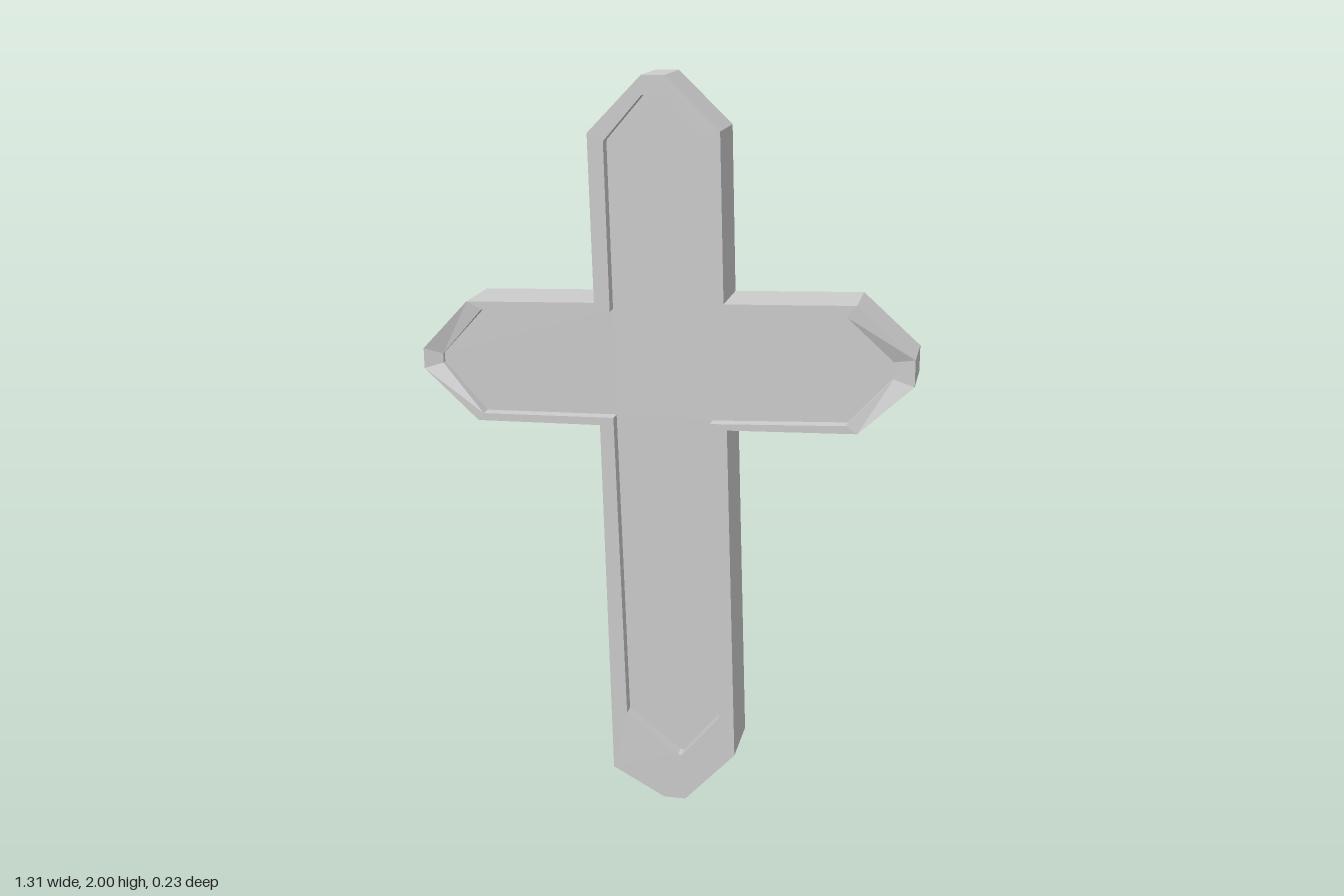
import * as THREE from 'three';

const V2 = (a) => a.map(([x, y]) => new THREE.Vector2(x, y));

// Outer outline and matching inner outline of the raised rim, counter-clockwise from the foot
const OUTER = V2([
  [0, 0], [0.06, 0], [0.2, 0.15], [0.175, 1.09], [0.515, 1.1], [0.655, 1.23], [0.655, 1.3],
  [0.505, 1.435], [0.165, 1.425], [0.155, 1.86], [0.015, 1.995], [-0.045, 1.995], [-0.187, 1.85],
  [-0.177, 1.415], [-0.525, 1.405], [-0.655, 1.27], [-0.655, 1.215], [-0.505, 1.08],
  [-0.167, 1.085], [-0.145, 0.145],
]);
const INNER = V2([
  [0.04, 0.137], [0.05, 0.135], [0.155, 0.26], [0.13, 1.105], [0.485, 1.12], [0.6, 1.245], [0.6, 1.29],
  [0.48, 1.405], [0.122, 1.393], [0.113, 1.835], [0.005, 1.955], [-0.045, 1.945], [-0.145, 1.83],
  [-0.135, 1.393], [-0.485, 1.385], [-0.605, 1.255], [-0.605, 1.23], [-0.49, 1.1],
  [-0.13, 1.107], [-0.105, 0.25],
]);
const THICKNESS = 0.172, RECESS = 0.035;
const ARM_TIPS = [5, 6, 15, 16], FOOT_CORNER = 19;

// Places an outline point on the slightly tilted front plane, then pushes it back by depth
function place(p, depth) {
  const z = 0.087 - 0.028 * p.x + 0.027 * (p.y - 1);
  return [p.x - 0.028 * depth, p.y + 0.027 * depth, z - depth];
}

const ring = (pts, depth) => pts.map((p) => place(p, depth));

// Strip of quads from ring a to ring b
function band(a, b) {
  const out = [];
  a.forEach((p, i) => {
    const j = (i + 1) % a.length;
    out.push(...p, ...a[j], ...b[j], ...p, ...b[j], ...b[i]);
  });
  return out;
}

// Flat cap over a ring, facing front or back
function cap(outline, r, front) {
  return THREE.ShapeUtils.triangulateShape(outline, []).flatMap(([a, b, c]) =>
    (front ? [a, b, c] : [a, c, b]).flatMap((i) => r[i]));
}

function part(name, positions) {
  const g = new THREE.BufferGeometry();
  g.setAttribute('position', new THREE.Float32BufferAttribute(positions, 3));
  g.computeVertexNormals();
  const m = new THREE.Mesh(g, new THREE.MeshStandardMaterial({ color: 0xcccccc, flatShading: true }));
  m.name = name;
  return m;
}

export function createModel() {
  const group = new THREE.Group();
  group.name = 'cross';

  const back = ring(OUTER, THICKNESS);
  const front = ring(OUTER, 0);
  const rimInner = ring(INNER, 0);
  const floor = ring(INNER, RECESS);

  // Worn spots: dipped rim at the arm tips, one foot corner pulled down
  for (const i of ARM_TIPS) {
    front[i][2] -= 0.008;
    rimInner[i][2] -= 0.02;
  }
  front[FOOT_CORNER][1] -= 0.065;

  group.add(part('body', [...band(back, front), ...cap(OUTER, back, false)]));
  group.add(part('rim', band(front, rimInner)));
  group.add(part('recessedPanel', [...band(rimInner, floor), ...cap(INNER, floor, true)]));
  return group;
}
